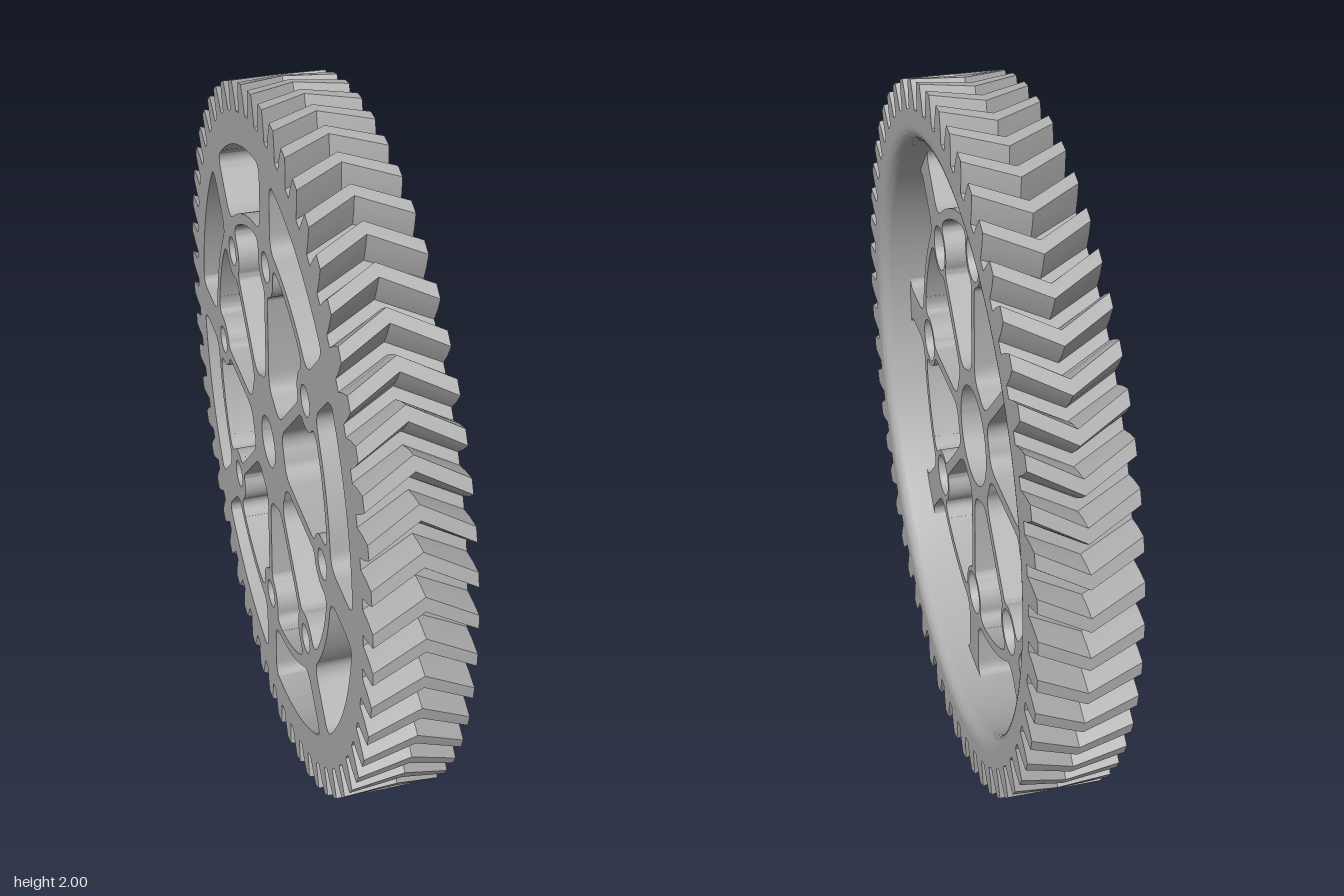
import * as THREE from 'three';
import { toCreasedNormals } from 'three/addons/utils/BufferGeometryUtils.js';

const HALF = 0.13;      // half of the gear's width
const WEB_TOP = 0.035;  // recessed face of the web
const FLOOR = -0.03;    // floor of the counterbores
const SECTOR = Math.PI / 4;
const polar = (r, a) => new THREE.Vector2(r * Math.cos(a), r * Math.sin(a));

function circle(r, x = 0, y = 0) {
  return new THREE.Path().absarc(x, y, r, 0, Math.PI * 2, false);
}

// Mirror half a pocket outline about the middle of its sector, then turn it into sector k
function pocket(half, k) {
  const pts = half.getPoints(8);
  const mirrored = pts.map((p) => polar(p.length(), SECTOR - p.angle())).reverse();
  const all = [...pts, ...mirrored.slice(1)];
  return new THREE.Path(all.map((p) => polar(p.length(), p.angle() + k * SECTOR)));
}

// Extrude along the gear's axis (x) from x0 to x1
function extrude(shape, x0, x1, steps = 1, curveSegments = 24) {
  const g = new THREE.ExtrudeGeometry(shape, { depth: x1 - x0, steps, curveSegments, bevelEnabled: false });
  return g.translate(0, 0, x0);
}

// Revolve a profile of (radius, x) points around the gear's axis
function revolve(points, segments) {
  const g = new THREE.LatheGeometry(points.map(([r, x]) => new THREE.Vector2(r, x)), segments);
  return toCreasedNormals(g.rotateZ(-Math.PI / 2), 0.5);
}

function toothedBand() {
  const count = 55, pitch = Math.PI * 2 / count, pts = [];
  const gap = [[1, -0.33], [0.96, -0.22], [0.92, -0.15], [0.92, 0.15], [0.96, 0.22], [1, 0.33], [1, 0.5]];
  for (let i = 0; i < count; i++) {
    for (const [r, t] of gap) pts.push(polar(r, (i + t) * pitch));
  }
  const shape = new THREE.Shape(pts);
  shape.holes.push(circle(0.875));
  const g = extrude(shape, -HALF, HALF, 2, 96);
  // Turn the middle section to make the herringbone teeth
  const pos = g.attributes.position, twist = -0.075;
  for (let i = 0; i < pos.count; i++) {
    if (Math.abs(pos.getZ(i)) > 0.01) continue;
    const p = new THREE.Vector2(pos.getX(i), pos.getY(i)).rotateAround(new THREE.Vector2(), twist);
    pos.setXY(i, p.x, p.y);
  }
  return toCreasedNormals(g.rotateY(Math.PI / 2), 0.5);
}

function webLayer(x0, x1, hubHole, boltHole) {
  const shape = new THREE.Shape().absarc(0, 0, 0.85, 0, Math.PI * 2, false);
  shape.holes.push(circle(hubHole));

  // Inner pocket: hub, thin spoke, bolt boss, ring
  const inner = new THREE.Path();
  inner.absarc(0, 0, 0.19, SECTOR / 2, 0.3, true);
  inner.quadraticCurveTo(0.195, 0.017, 0.245, 0.017);
  inner.lineTo(0.462, 0.017);
  inner.quadraticCurveTo(0.482, 0.017, 0.491, 0.04);
  inner.absarc(0.56, 0, 0.08, Math.PI * 5 / 6, Math.PI * 0.47, true);
  inner.quadraticCurveTo(0.607, 0.078, 0.595, 0.133);
  inner.absarc(0, 0, 0.61, 0.22, SECTOR / 2, false);

  // Outer pocket: ring, wide spoke, rim
  const outer = new THREE.Path();
  outer.absarc(0, 0, 0.64, SECTOR / 2, 0.16, true);
  outer.quadraticCurveTo(0.638, 0.053, 0.69, 0.053);
  outer.lineTo(0.785, 0.053);
  outer.quadraticCurveTo(0.832, 0.053, 0.829, 0.1);
  outer.absarc(0, 0, 0.835, 0.12, SECTOR / 2, false);

  for (let k = 0; k < 8; k++) {
    const c = polar(0.56, k * SECTOR);
    shape.holes.push(pocket(inner, k), pocket(outer, k), circle(boltHole, c.x, c.y));
  }
  return toCreasedNormals(extrude(shape, x0, x1, 1, 48).rotateY(Math.PI / 2), 0.5);
}

export function createModel() {
  const group = new THREE.Group();
  group.name = 'herringboneGear';
  const grey = new THREE.MeshStandardMaterial({ color: 0xb0b0b0 });
  grey.name = 'light grey';
  const add = (name, geometry, y = 0, z = 0) => {
    const mesh = new THREE.Mesh(geometry, grey);
    mesh.name = name;
    mesh.position.set(0, y + 1, z);
    group.add(mesh);
  };

  add('teeth', toothedBand());

  // Rim bore with a rounded edge on the recessed side
  const profile = [[0.88, HALF]];
  for (let i = 0; i <= 8; i++) {
    const a = (i / 8) * Math.PI / 2;
    profile.push([0.87 - 0.04 * Math.sin(a), HALF - 0.04 + 0.04 * Math.cos(a)]);
  }
  profile.push([0.83, -HALF], [0.88, -HALF]);
  add('rim', revolve(profile, 128));

  // Web in two layers, the upper one with wider holes for the counterbores
  add('webBack', webLayer(-HALF, FLOOR, 0.075, 0.042));
  add('webFront', webLayer(FLOOR, WEB_TOP, 0.145, 0.065));

  // Conical seats in the bolt bosses
  const seat = revolve([[0.065, WEB_TOP], [0.042, FLOOR]], 32);
  for (let k = 0; k < 8; k++) {
    const c = polar(0.56, k * SECTOR);
    add('boltSeat', seat, c.y, -c.x);
  }
  return group;
}
